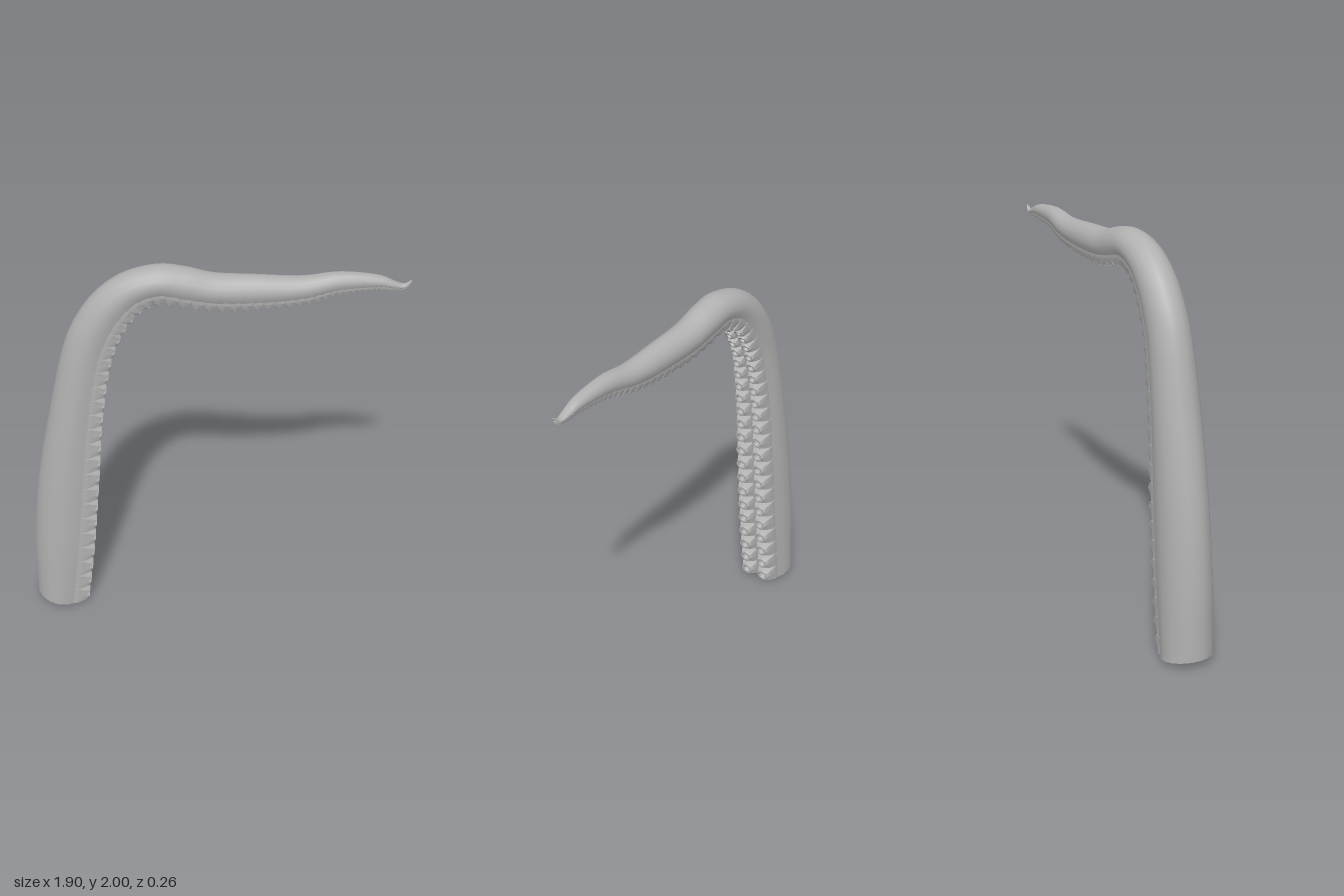
import * as THREE from 'three';
import { toCreasedNormals } from 'three/addons/utils/BufferGeometryUtils.js';

// Stations along the arm: back x, back y, inner x, inner y, half width
const STATIONS = [
  [-0.95, 0.05, -0.75, 0.005, 0.13],
  [-0.94, 0.4, -0.7, 0.37, 0.13],
  [-0.895, 0.8, -0.655, 0.78, 0.125],
  [-0.805, 1.24, -0.61, 1.2, 0.115],
  [-0.715, 1.6, -0.545, 1.53, 0.102],
  [-0.65, 1.74, -0.49, 1.67, 0.098],
  [-0.55, 1.87, -0.43, 1.765, 0.094],
  [-0.42, 1.96, -0.35, 1.84, 0.09],
  [-0.25, 2.0, -0.25, 1.87, 0.087],
  [-0.12, 1.983, -0.14, 1.847, 0.084],
  [0.0, 1.95, -0.01, 1.822, 0.08],
  [0.2, 1.935, 0.2, 1.812, 0.071],
  [0.43, 1.922, 0.43, 1.825, 0.06],
  [0.6, 1.94, 0.6, 1.86, 0.046],
  [0.8, 1.915, 0.8, 1.866, 0.032],
  [0.87, 1.883, 0.865, 1.855, 0.024],
  [0.91, 1.87, 0.915, 1.852, 0.016],
  [0.945, 1.888, 0.947, 1.883, 0.004],
];
const back = new THREE.CatmullRomCurve3(STATIONS.map(s => new THREE.Vector3(s[0], s[1], 0)));
const inner = new THREE.CatmullRomCurve3(STATIONS.map(s => new THREE.Vector3(s[2], s[3], s[4])));

// Half cross-section: depth from back (-1) to inner face (1), width fraction
const HALF = [[-1, 0], [-0.98, 0.18], [-0.92, 0.36], [-0.7, 0.66], [-0.35, 0.89], [0.1, 1], [0.55, 0.96], [1, 0.78]];
const RING = [...HALF, [1, 0], ...HALF.slice(1).reverse().map(([a, b]) => [a, -b])];

function armGeometry(steps) {
  const pos = [], index = [], n = RING.length;
  for (let j = 0; j <= steps; j++) {
    const o = back.getPoint(j / steps), i = inner.getPoint(j / steps);
    for (const [a, b] of RING) {
      const k = (a + 1) / 2;
      pos.push(o.x + (i.x - o.x) * k, o.y + (i.y - o.y) * k, i.z * b);
    }
  }
  for (let j = 0; j < steps; j++) {
    for (let i = 0; i < n; i++) {
      const p = j * n + i, q = j * n + (i + 1) % n;
      index.push(p, q, q + n, p, q + n, p + n);
    }
  }
  // base and tip caps
  const last = steps * n;
  for (let i = 1; i < n - 1; i++) index.push(0, i + 1, i, last, last + i, last + i + 1);
  const g = new THREE.BufferGeometry();
  g.setAttribute('position', new THREE.Float32BufferAttribute(pos, 3));
  g.setIndex(index);
  return toCreasedNormals(g, 0.7);
}

// Square-footed cup narrowing to an octagonal rim with a dimple
function suckerGeometry() {
  const profile = [[0.37, -0.15], [0.36, 0.1], [0.29, 0.4], [0.25, 0.56], [0.16, 0.56], [0.11, 0.36], [0, 0.33]];
  const g = new THREE.LatheGeometry(profile.map(p => new THREE.Vector2(...p)), 8);
  const p = g.attributes.position;
  for (let i = 0; i < p.count; i++) {
    const row = i % profile.length, x = p.getX(i), z = p.getZ(i);
    const m = Math.max(Math.abs(x), Math.abs(z));
    const square = row < 2 ? 1 : row === 2 ? 0.6 : 0;
    const s = m > 1e-5 ? 1 + (Math.hypot(x, z) / m - 1) * square : 1;
    p.setX(i, x * s);
    p.setZ(i, z * s * 1.1);
  }
  return toCreasedNormals(g, 0.3);
}

export function createModel() {
  const group = new THREE.Group();
  group.name = 'tentacle';
  const skin = new THREE.MeshStandardMaterial({ color: 0xb0b0b0 });
  skin.name = 'grey skin';

  const arm = new THREE.Mesh(armGeometry(136), skin);
  arm.name = 'arm';
  group.add(arm);

  // Paired suckers, spaced in proportion to the arm's width
  const suckers = new THREE.Group();
  suckers.name = 'suckers';
  const cup = suckerGeometry();
  const N = 4000;
  let prev = inner.getPoint(0), travelled = 0.045;
  for (let k = 1; k < N * 0.975; k++) {
    const p = inner.getPoint(k / N), w = p.z;
    travelled += Math.hypot(p.x - prev.x, p.y - prev.y);
    if (travelled >= 0.75 * w) {
      travelled = 0;
      const t = new THREE.Vector3(p.x - prev.x, p.y - prev.y, 0).normalize();
      const out = new THREE.Vector3(t.y, -t.x, 0);
      const turn = new THREE.Matrix4().makeBasis(t, out, new THREE.Vector3().crossVectors(t, out));
      for (const side of [1, -1]) {
        const m = new THREE.Mesh(cup, skin);
        m.name = side > 0 ? 'frontSucker' : 'backSucker';
        m.quaternion.setFromRotationMatrix(turn);
        m.scale.setScalar(w);
        m.position.set(p.x, p.y, side * w * 0.42);
        suckers.add(m);
      }
    }
    prev = p;
  }
  group.add(suckers);
  return group;
}
